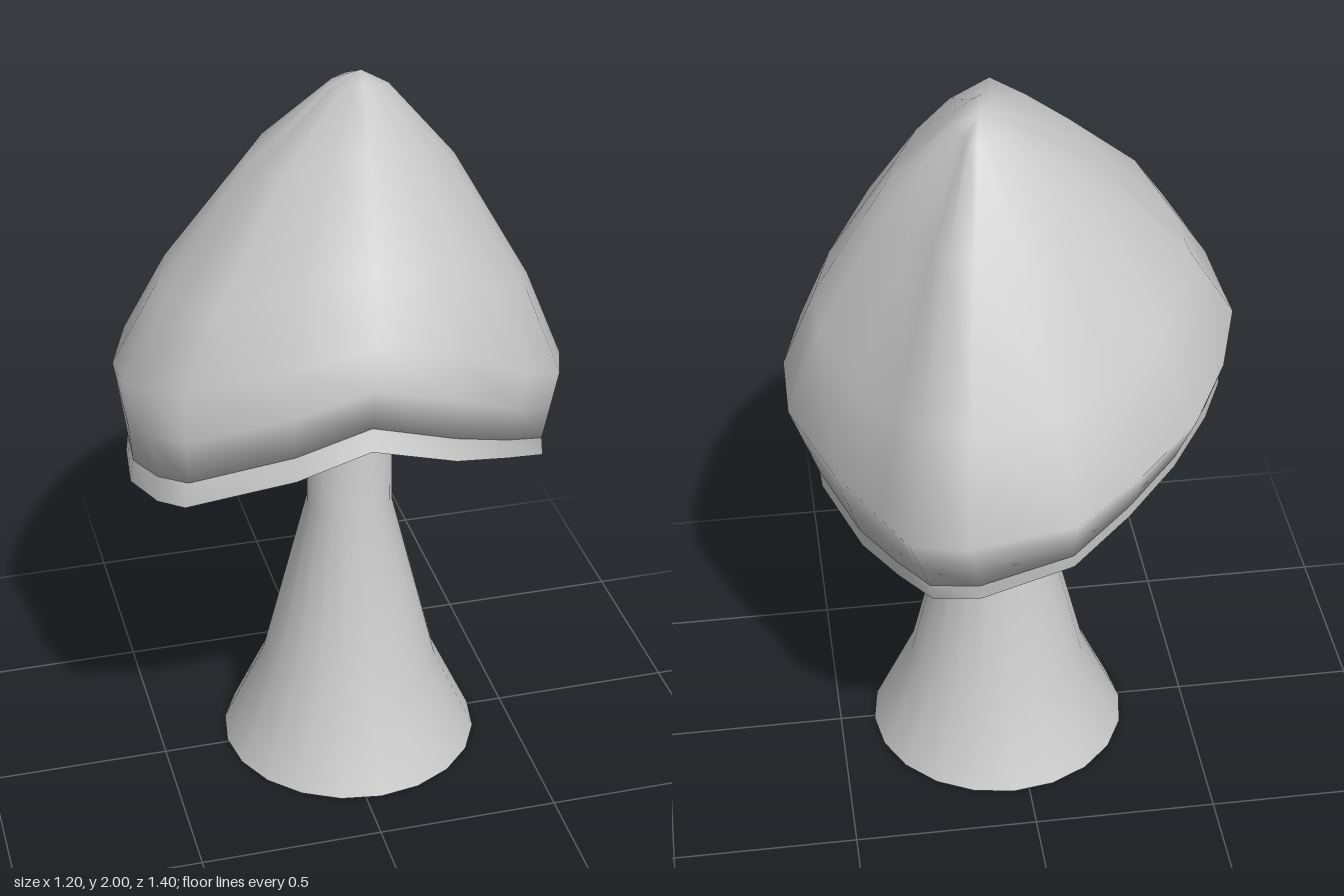
import * as THREE from 'three';
import { mergeVertices } from 'three/addons/utils/BufferGeometryUtils.js';

// Widest ring of the cap, from the front counterclockwise seen from above
const WIDEST = [
  [-0.06, 1.6, 0.64], [0.18, 1.5, 0.57], [0.39, 1.36, 0.45], [0.54, 1.24, 0.26], [0.6, 1.2, 0.09],
  [0.6, 1.13, -0.04], [0.5, 1.09, -0.28], [0.4, 1.08, -0.47], [0.34, 1.1, -0.62], [0.2, 1.14, -0.705],
  [-0.07, 1.16, -0.675], [-0.25, 1.2, -0.55], [-0.42, 1.25, -0.4], [-0.53, 1.28, -0.2], [-0.6, 1.3, 0.02],
  [-0.595, 1.3, 0.13], [-0.57, 1.35, 0.25], [-0.49, 1.42, 0.44], [-0.26, 1.52, 0.57],
];
// Lower lip of the cap, column by column
const LIP = [
  [-0.09, 1.35, 0.7], [0.15, 1.24, 0.62], [0.34, 1.12, 0.45], [0.5, 1.0, 0.27], [0.53, 0.92, 0.1],
  [0.52, 0.87, -0.03], [0.43, 0.79, -0.2], [0.35, 0.82, -0.38], [0.28, 0.88, -0.56], [0.16, 0.9, -0.6],
  [-0.08, 0.96, -0.58], [-0.24, 1.02, -0.47], [-0.38, 1.07, -0.34], [-0.5, 1.08, -0.15], [-0.58, 1.05, 0.05],
  [-0.6, 1.06, 0.22], [-0.56, 1.09, 0.38], [-0.51, 1.13, 0.49], [-0.26, 1.25, 0.63],
];
const toVectors = (list) => list.map((p) => new THREE.Vector3(...p));
const blend = (from, to, t) => from.map((p, i) => p.clone().lerp(to[i], t));

// Smooth surface through rings of equal length, listed from top to bottom
function loft(rings) {
  const n = rings[0].length;
  const index = [];
  for (let i = 0; i < rings.length - 1; i++) {
    for (let j = 0; j < n; j++) {
      const k = (j + 1) % n;
      const a = i * n + j, b = i * n + k, c = a + n, d = b + n;
      index.push(a, c, d, a, d, b);
    }
  }
  const geometry = new THREE.BufferGeometry().setFromPoints(rings.flat());
  geometry.setIndex(index);
  const merged = mergeVertices(geometry, 1e-4);
  merged.computeVertexNormals();
  return merged;
}

export function createModel() {
  const group = new THREE.Group();
  const material = new THREE.MeshStandardMaterial({ color: 0xcccccc, side: THREE.DoubleSide });
  const add = (name, geometry) => {
    const mesh = new THREE.Mesh(geometry, material);
    mesh.name = name;
    group.add(mesh);
    return mesh;
  };

  const widest = toVectors(WIDEST);
  const lip = toVectors(LIP);
  const tip = widest.map(() => new THREE.Vector3(0.09, 2, -0.08));
  const centre = lip.map(() => new THREE.Vector3(0.04, 1.4, 0.01));

  // Cap: domed rings from the off-centre tip, fuller towards the back right
  const dome = [[0, 0], [0.13, 0.065], [0.45, 0.125], [0.82, 0.085], [1, 0]].map(([t, lift]) => {
    const ring = blend(tip, widest, t);
    ring.forEach((p, i) => { p.y += lift * (1 + 0.2 * (widest[i].x - widest[i].z)); });
    return ring;
  });
  // Rounded lower edge that turns in under the cap
  const edge = blend(lip, widest, 0.2);
  edge.forEach((p) => p.multiply(new THREE.Vector3(0.98, 1, 0.98)));
  add('cap', loft([...dome, blend(edge, widest, 0.45), edge, blend(edge, centre, 0.3)]));

  // Thin lip below the edge, and the underside rising from it to the stem
  add('capLip', loft([edge, lip]));
  add('capUnderside', loft([0, 0.5, 1].map((t) => blend(lip, centre, t))));

  // Stem: flared foot narrowing to a straight neck
  const profile = [[0.36, 0], [0.245, 0.25], [0.118, 0.77], [0.115, 1.38]];
  const stem = add('stem', new THREE.LatheGeometry(profile.map(([r, y]) => new THREE.Vector2(r, y)), 20));
  stem.position.set(0.043, 0, -0.01);
  const base = add('stemBase', new THREE.CircleGeometry(0.36, 20));
  base.rotation.x = Math.PI / 2;
  base.position.copy(stem.position);

  return group;
}
